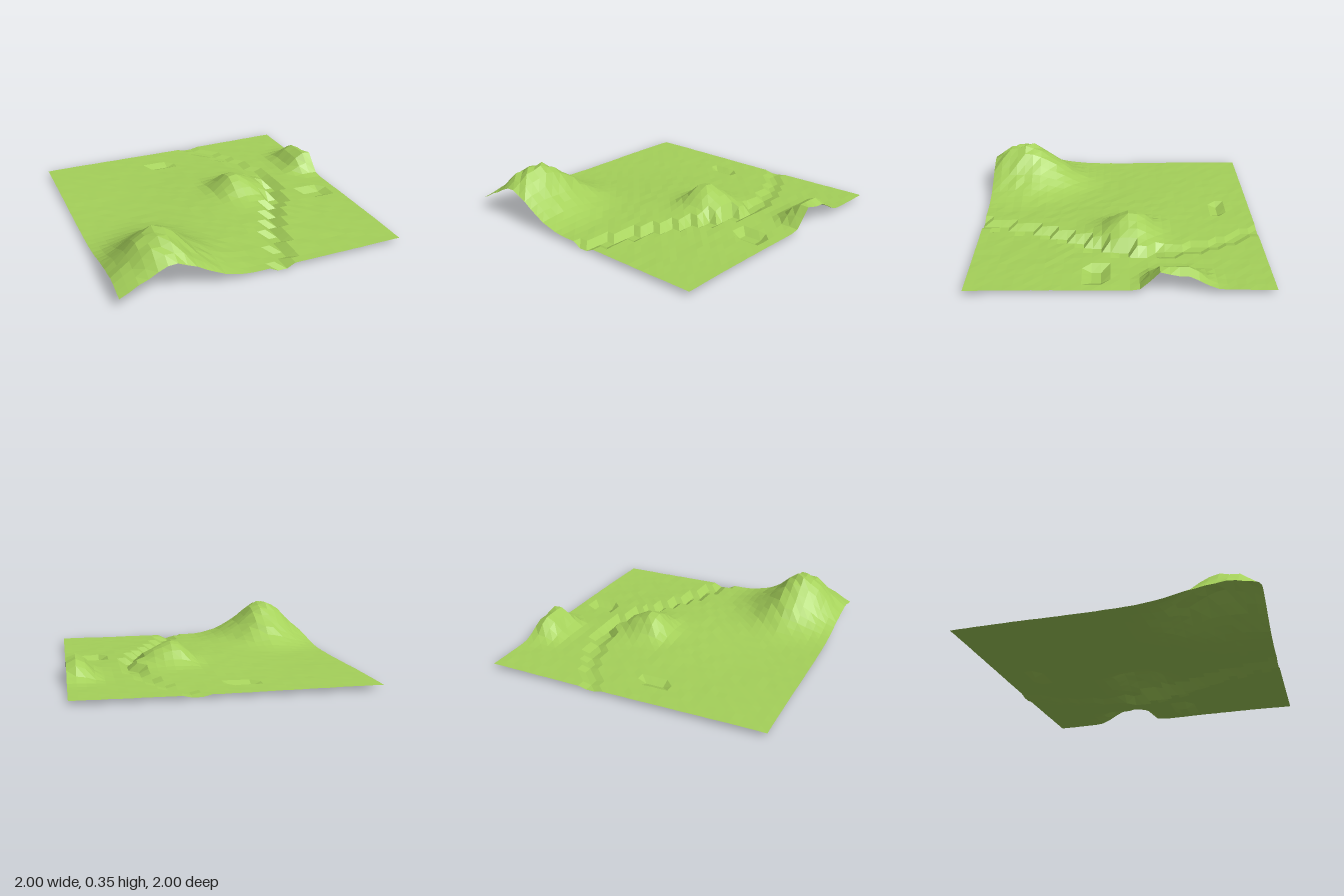
import * as THREE from 'three';

const CELLS = 32;

// Mounds: [x, z, height, spread -x, spread +x, spread -z, spread +z]
const HILLS = [
  [-0.69, 0.75, 0.25, 0.19, 0.16, 0.19, 0.17],  // main peak
  [-0.60, 0.52, 0.09, 0.16, 0.16, 0.16, 0.2],   // rear shoulder
  [-0.58, 1.0, 0.11, 0.24, 0.17, 0.14, 0.14],   // front shoulder
  [-0.35, 0.72, 0.04, 0.12, 0.12, 0.14, 0.16],  // side foot
  [0.20, -0.12, 0.115, 0.07, 0.16, 0.09, 0.12], // middle hill
  [0.30, 0.02, 0.045, 0.12, 0.1, 0.12, 0.1],    // middle hill flank
  [0.94, -0.25, 0.14, 0.08, 0.12, 0.1, 0.055],  // side peak
  [0.92, -0.45, 0.11, 0.07, 0.1, 0.08, 0.075],  // side peak, rear knoll
  [0.10, 0.25, 0.025, 0.4, 0.5, 0.5, 0.5],      // broad swell of the plain
];

// Sunken ponds: [x, z, half width, half depth]
const PONDS = [[-0.15, -0.75, 0.1, 0.05], [0.82, 0.15, 0.07, 0.075]];

// River course as [z, x], front to back
const RIVER = [
  [1, 0.11], [0.8, 0.155], [0.65, 0.22], [0.4, 0.32], [0.2, 0.45], [0, 0.54],
  [-0.2, 0.56], [-0.4, 0.51], [-0.6, 0.44], [-0.8, 0.34], [-1, 0.21],
];

function riverX(z) {
  for (let i = 1; i < RIVER.length; i++) {
    const [z0, x0] = RIVER[i - 1], [z1, x1] = RIVER[i];
    if (z >= z1 - 1e-6) return x0 + (x1 - x0) * (z0 - z) / (z0 - z1);
  }
  return RIVER[RIVER.length - 1][1];
}

// Repeatable value from -1 to 1 for each grid point
function jitter(x, z) {
  const s = Math.sin(x * 127.1 + z * 311.7 + 4.3) * 43758.5453;
  return 2 * (s - Math.floor(s)) - 1;
}

function heightAt(x, z) {
  // Gently rolling plain
  let y = 0.026 + 0.004 * Math.sin(3 * x + 1) * Math.cos(4 * z) + 0.0012 * jitter(x, z);
  // Mounds with uneven sides
  let rise = 0;
  for (const [hx, hz, h, xl, xr, zb, zf] of HILLS) {
    const dx = (x - hx) / (x < hx ? xl : xr);
    const dz = (z - hz) / (z < hz ? zb : zf);
    rise += h * Math.exp(-(dx * dx + dz * dz) / 2);
  }
  y += rise * (1 + 0.05 * jitter(x, z));
  // Ponds
  for (const [px, pz, w, d] of PONDS) {
    if (Math.abs(x - px) < w && Math.abs(z - pz) < d) y = 0;
  }
  // River bed, shallower towards the back
  if (Math.abs(x - riverX(z)) < 0.05) y = z > -0.3 ? 0.002 : 0.01;
  return Math.max(0, y);
}

export function createModel() {
  const group = new THREE.Group();
  group.name = 'landscape';

  // Square grid laid flat, turned so its diagonals run from back left to front right
  const geometry = new THREE.PlaneGeometry(2, 2, CELLS, CELLS);
  geometry.rotateX(-Math.PI / 2);
  geometry.rotateY(Math.PI / 2);
  const pos = geometry.attributes.position;
  for (let i = 0; i < pos.count; i++) {
    pos.setY(i, heightAt(pos.getX(i), pos.getZ(i)));
  }
  geometry.computeVertexNormals();

  const grass = new THREE.MeshStandardMaterial({
    color: 0xa5d15a, flatShading: true, side: THREE.DoubleSide,
  });
  const terrain = new THREE.Mesh(geometry, grass);
  terrain.name = 'terrain';
  group.add(terrain);
  return group;
}
